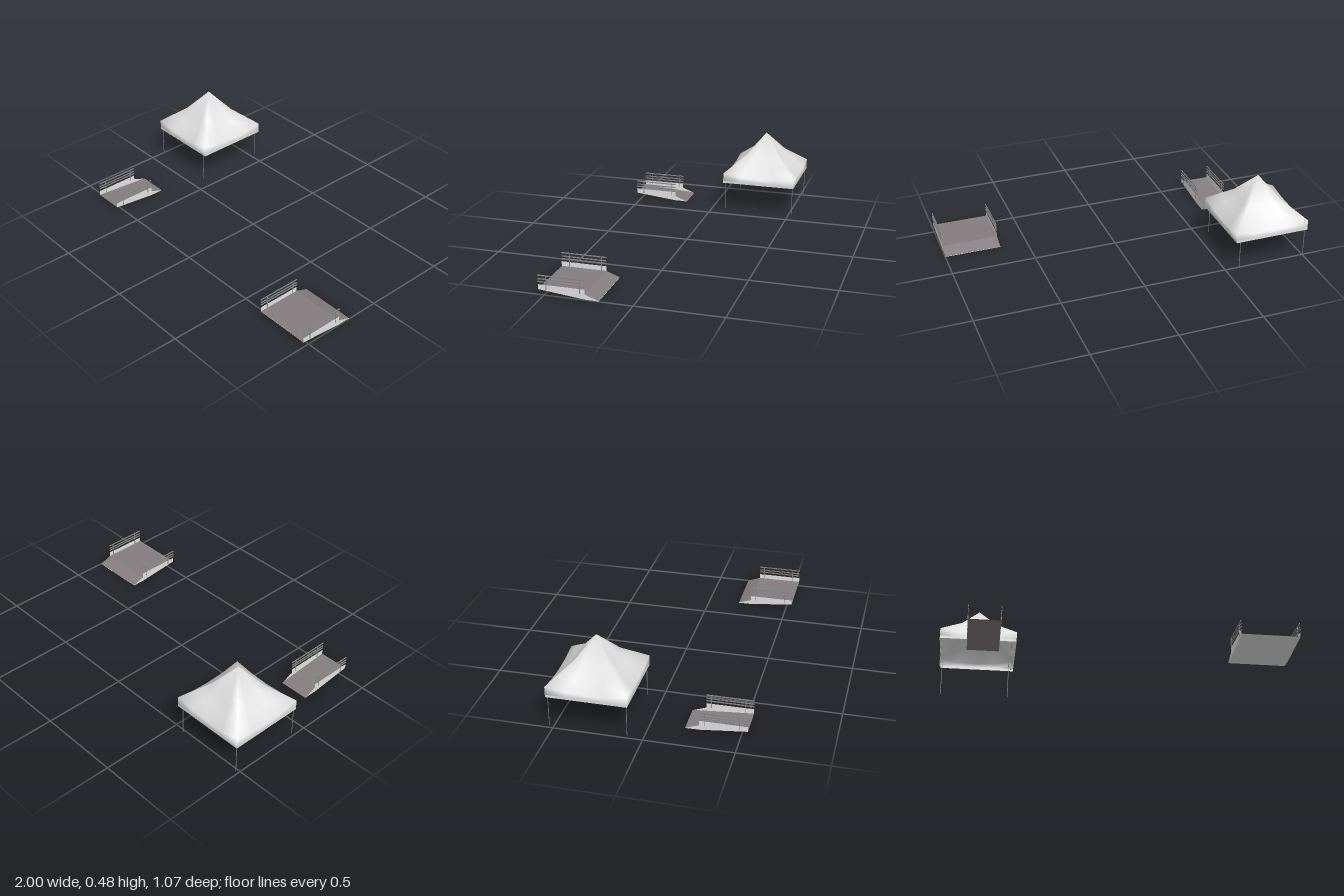
import * as THREE from 'three';
import { mergeVertices } from 'three/addons/utils/BufferGeometryUtils.js';

const mat = (name, color, side = THREE.FrontSide) => {
  const m = new THREE.MeshStandardMaterial({ color, side });
  m.name = name;
  return m;
};

// Builds an open skin from equal-length cross-sections
function loft(sections, closed) {
  const n = sections[0].length, index = [];
  for (let r = 0; r < sections.length - 1; r++) {
    for (let i = 0; i < (closed ? n : n - 1); i++) {
      const a = r * n + i, b = r * n + (i + 1) % n;
      index.push(a, b, a + n, b, b + n, a + n);
    }
  }
  const g = new THREE.BufferGeometry();
  g.setAttribute('position', new THREE.Float32BufferAttribute(sections.flat(2), 3));
  g.setIndex(index);
  return g;
}

// Square ring whose sides sag between the corners
function squareRing(half, y, sag = 0, steps = 4) {
  const corners = [[1, 1], [1, -1], [-1, -1], [-1, 1]], ring = [];
  corners.forEach(([x, z], k) => {
    const [nx, nz] = corners[(k + 1) % 4];
    for (let i = 0; i < steps; i++) {
      const t = i / steps, u = 2 * t - 1;
      ring.push([half * (x + (nx - x) * t), y - sag * (1 - u * u), half * (z + (nz - z) * t)]);
    }
  });
  return ring;
}

function smooth(geometry) {
  const g = mergeVertices(geometry);
  g.computeVertexNormals();
  return g;
}

function faceted(geometry) {
  const g = geometry.toNonIndexed();
  g.computeVertexNormals();
  return g;
}

export function createModel() {
  const canvas = mat('canvas', 0xe0e0e0, THREE.DoubleSide);
  const pole = mat('pole metal', 0x808082);
  const deckMat = mat('deck', 0x857d7f, THREE.DoubleSide);
  const sideMat = mat('side panel', 0xe4e4e4, THREE.DoubleSide);
  const railMat = mat('rail', 0x8a8789);

  const model = new THREE.Group();
  const add = (parent, name, geometry, material, x = 0, y = 0, z = 0) => {
    const m = new THREE.Mesh(geometry, material);
    m.name = name;
    m.position.set(x, y, z);
    parent.add(m);
    return m;
  };

  // Tent: peaked roof with sagging faces, hem and four poles
  const tent = new THREE.Group();
  tent.name = 'tent';
  tent.position.set(-0.774, 0, -0.307);
  model.add(tent);
  const roof = [
    [0.226, 0.205, 0], [0.226, 0.252, 0.024], [0.16, 0.306, 0.018], [0.1, 0.355, 0.004], [0, 0.479, 0],
  ];
  add(tent, 'roof', smooth(loft(roof.map((r) => squareRing(...r)), true)), canvas);
  add(tent, 'hem', faceted(loft([squareRing(0.226, 0.19), squareRing(0.226, 0.205)], true)), canvas);
  for (const x of [-0.215, 0.197]) {
    for (const z of [-0.215, 0.219]) {
      add(tent, 'tentPole', new THREE.CylinderGeometry(0.002, 0.002, 0.22, 8), pole, x, 0.12, z);
    }
  }

  // Faceted skin spanning between x0 and x1 along a [z, y] profile
  const span = (profile, x0, x1) =>
    faceted(loft(profile.map(([z, y]) => [[x0, y, z], [x1, y, z]]), false));

  // Ramped platform with side panels and a railing on each side
  function platform(name, x0, x1, top, underMat) {
    const g = new THREE.Group();
    g.name = name;
    model.add(g);
    add(g, 'deck', span(top, x0, x1), deckMat);
    add(g, 'underside', span([[0.192, 0], [0.27, 0.002], [0.535, 0.029]], x0, x1), underMat);

    const outline = new THREE.Shape([
      [0.535, 0.029], [0.535, 0.058], [0.27, 0.058], [0.27, 0.03], [0.192, 0.001], [0.27, 0.001],
    ].map(([z, y]) => new THREE.Vector2(-z, y)));
    for (const x of [x0, x1]) {
      const panel = add(g, 'sidePanel', new THREE.ShapeGeometry(outline), sideMat, x);
      panel.rotation.y = Math.PI / 2;
      for (const y of [0.074, 0.09, 0.11]) {
        add(g, 'rail', new THREE.BoxGeometry(0.004, 0.006, 0.266), railMat, x, y, 0.402);
      }
      for (const z of [0.298, 0.488]) {
        add(g, 'railPost', new THREE.BoxGeometry(0.004, 0.081, 0.004), railMat, x, 0.072, z);
      }
    }
  }
  platform('widePlatform', 0.663, 0.997, [[0.535, 0.03], [0.27, 0.03], [0.192, 0.002]], sideMat);
  platform('narrowPlatform', -0.836, -0.656, [[0.535, 0.03], [0.192, 0.003]], deckMat);

  return model;
}
